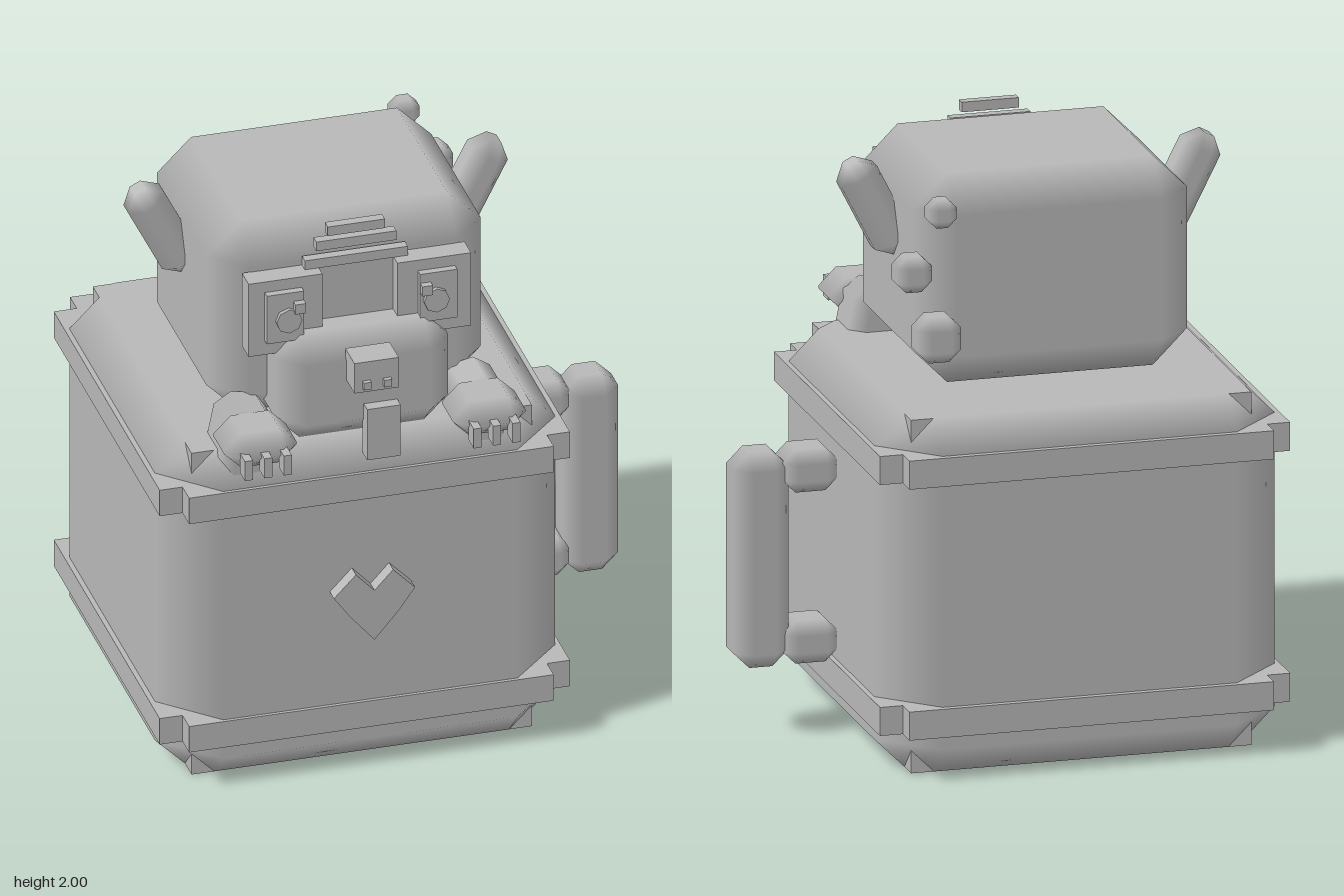
import * as THREE from 'three';

const CX = -0.173; // middle of mug and bear; the handle sits to one side
const CZ = -0.065;

// Block with chamfered edges: v cuts the upright edges, c the level ones.
// Flats keep their own normals, so the chamfers shade smoothly between them.
function chamferGeometry(w, h, d, c, v = c) {
  const pos = [], nor = [], idx = [];
  const rings = [[-h / 2, c, -1], [-h / 2 + c, 0, 0], [h / 2 - c, 0, 0], [h / 2, c, 1]];
  for (const [y, inset, ny] of rings) {
    const a = w / 2 - inset, b = d / 2 - inset, k = v - inset;
    const loop = [
      [a, k - b, 1, 0], [a, b - k, 1, 0], [a - k, b, 0, 1], [k - a, b, 0, 1],
      [-a, b - k, -1, 0], [-a, k - b, -1, 0], [k - a, -b, 0, -1], [a - k, -b, 0, -1],
    ];
    for (const [x, z, nx, nz] of loop) {
      pos.push(x, y, z);
      if (ny) nor.push(0, ny, 0);
      else nor.push(nx, 0, nz);
    }
  }
  for (let r = 0; r < 3; r++) {
    for (let i = 0; i < 8; i++) {
      const p = r * 8 + i, q = r * 8 + (i + 1) % 8;
      idx.push(p, p + 8, q, q, p + 8, q + 8);
    }
  }
  for (let i = 1; i < 7; i++) idx.push(0, i, i + 1, 24, 24 + i + 1, 24 + i);
  const g = new THREE.BufferGeometry();
  g.setAttribute('position', new THREE.Float32BufferAttribute(pos, 3));
  g.setAttribute('normal', new THREE.Float32BufferAttribute(nor, 3));
  g.setIndex(idx);
  return g;
}

export function createModel() {
  const model = new THREE.Group();
  const grey = new THREE.MeshStandardMaterial({ color: 0xb8b8b8 });
  grey.name = 'clay grey';

  function add(name, geometry, x, y, z, parent = model) {
    const mesh = new THREE.Mesh(geometry, grey);
    mesh.name = name;
    mesh.position.set(x, y, z);
    parent.add(mesh);
    return mesh;
  }
  const box = (name, w, h, d, x, y, z, parent) =>
    add(name, new THREE.BoxGeometry(w, h, d), x, y, z, parent);
  const block = (name, w, h, d, c, x, y, z, parent) =>
    add(name, chamferGeometry(w, h, d, c), x, y, z, parent);

  // Mug body with a square core whose corners just show at top and bottom
  add('mugBody', chamferGeometry(1.4, 1.24, 1.4, 0.105, 0.185), CX, 0.62, CZ);
  box('mugCore', 1.19, 1.238, 1.19, CX, 0.619, CZ);

  // Two bands, each a pair of crossed slabs
  for (const y of [0.205, 1.085]) {
    box('mugBand', 1.435, 0.1, 1.275, CX, y, CZ - 0.005);
    box('mugBand', 1.275, 0.1, 1.435, CX, y, CZ - 0.005);
  }

  // Handle
  block('handleGrip', 0.195, 0.755, 0.2, 0.057, 0.787, 0.622, CZ);
  for (const y of [0.325, 0.925]) block('handleMount', 0.195, 0.15, 0.195, 0.045, 0.617, y, CZ - 0.003);

  // Heart on the front of the mug
  const heart = new THREE.Shape([
    [0, -0.13], [0.085, -0.03], [0.142, 0.05], [0.065, 0.13],
    [0, 0.06], [-0.065, 0.13], [-0.142, 0.05], [-0.085, -0.03],
  ].map(([x, y]) => new THREE.Vector2(x, y)));
  add('heart', new THREE.ExtrudeGeometry(heart, { depth: 0.065, bevelEnabled: false }), CX, 0.64, 0.62);

  // Head, snout, nose and tongue
  block('head', 0.96, 0.735, 0.835, 0.12, CX, 1.6125, 0.0125);
  block('snout', 0.605, 0.4, 0.35, 0.085, CX, 1.442, 0.44);
  box('nose', 0.155, 0.115, 0.11, CX, 1.542, 0.655);
  for (const s of [-1, 1]) box('nostril', 0.027, 0.027, 0.03, CX + s * 0.036, 1.515, 0.712);
  box('tongue', 0.117, 0.195, 0.055, -0.132, 1.287, 0.63);

  // Bridge between the eye panels and the floating bars above
  box('eyeBridge', 0.35, 0.205, 0.035, CX, 1.742, 0.44);
  [[0.51, 1.862], [0.28, 1.928], [0.2, 1.98]].forEach(([w, y], i) =>
    box('browBar', i ? w : 0.36, 0.035, 0.035, CX, y, 0.448));

  // Paired parts, mirrored about the middle
  for (const s of [-1, 1]) {
    const ear = block('ear', 0.14, 0.36, 0.16, 0.05, CX + s * 0.542, 1.805, -0.025);
    ear.rotation.z = -s * 0.47;

    const eye = new THREE.Group();
    eye.name = 'eye';
    eye.position.x = CX;
    model.add(eye);
    box('eyePanel', 0.258, 0.28, 0.08, s * 0.26, 1.705, 0.468, eye);
    box('eyeLens', 0.13, 0.185, 0.03, s * 0.268, 1.712, 0.52, eye);
    const pupil = add('pupil', new THREE.CylinderGeometry(0.045, 0.045, 0.03, 8), s * 0.258, 1.703, 0.535, eye);
    pupil.rotation.x = Math.PI / 2;
    box('eyeGlint', 0.037, 0.037, 0.03, s * 0.222, 1.752, 0.546, eye);

    const paw = new THREE.Group();
    paw.name = 'paw';
    paw.position.x = CX + s * 0.4;
    model.add(paw);
    const arm = block('arm', 0.185, 0.28, 0.24, 0.05, s * 0.01, 1.24, 0.48, paw);
    arm.rotation.z = s * 0.2;
    block('hand', 0.253, 0.13, 0.25, 0.06, 0, 1.313, 0.622, paw);
    for (let i = -1; i <= 1; i++) box('claw', 0.028, 0.075, 0.06, i * 0.068, 1.288, 0.754, paw);
  }

  // Steam puffs rising behind the head
  block('steamPuff', 0.155, 0.16, 0.15, 0.042, 0.267, 1.45, -0.43);
  block('steamPuff', 0.125, 0.125, 0.13, 0.036, 0.352, 1.683, -0.425);
  block('steamPuff', 0.1, 0.1, 0.1, 0.03, 0.25, 1.885, -0.425);

  return model;
}
